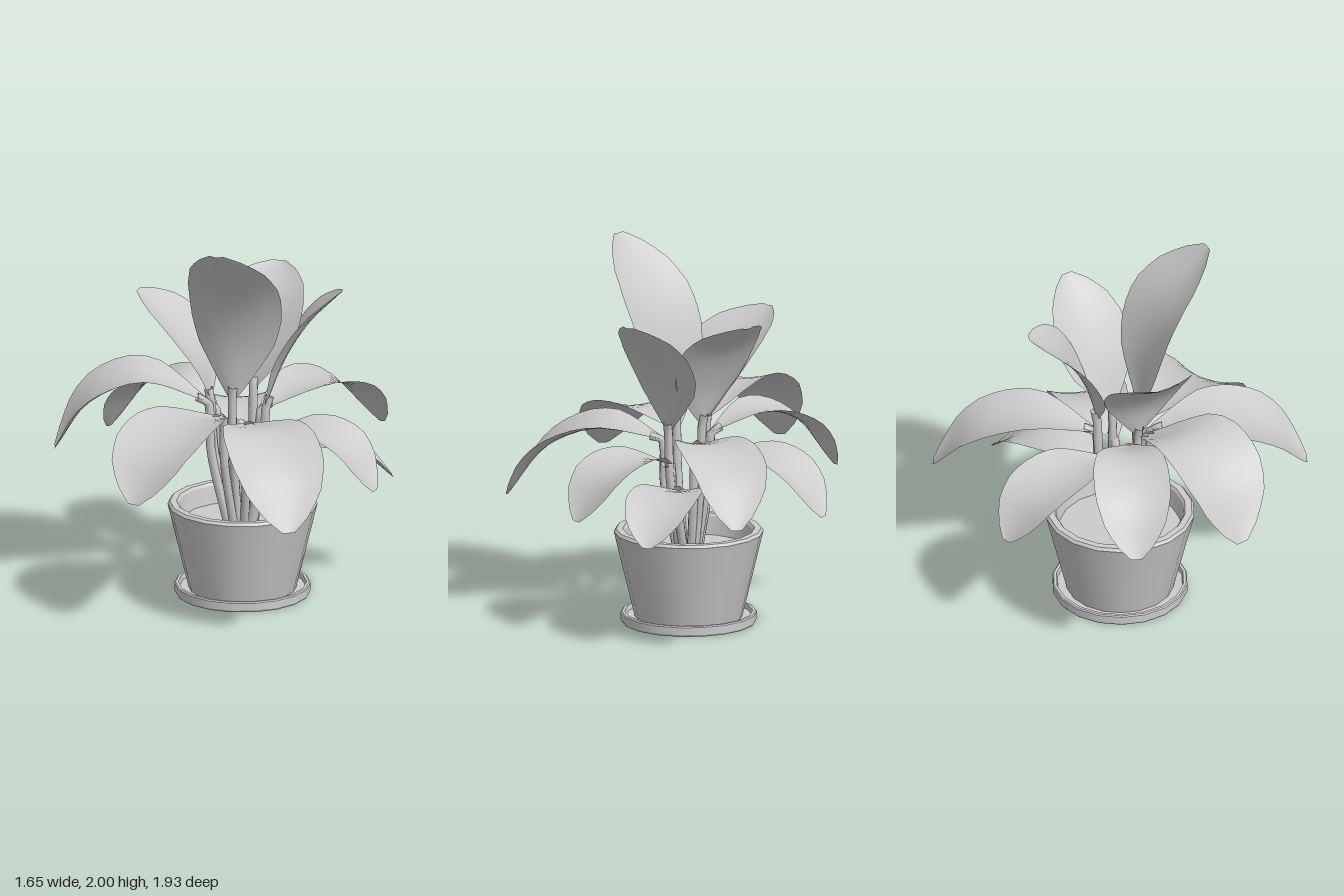
import * as THREE from 'three';

const material = new THREE.MeshStandardMaterial({ color: 0xcccccc, side: THREE.DoubleSide });
const POT = new THREE.Vector3(0.055, 0, -0.015);
const V = (p) => new THREE.Vector3(...p);

// Half width of a blade along its length: narrow base, full middle, blunt tip
const PROFILE = [[0, 0.1], [0.12, 0.42], [0.3, 0.85], [0.45, 0.99], [0.62, 1], [0.78, 0.82], [0.91, 0.52], [1, 0.14]];

// Each leaf: half width and the centre line from blade base to tip
const LEAVES = {
  uprightFrontLeaf: [0.25, [0.06, 1.1, 0.1], [0.09, 1.42, 0.13], [0.13, 1.7, 0.23], [0.18, 2, 0.48]],
  uprightLeftLeaf: [0.21, [0.19, 1.05, -0.03], [0.27, 1.3, -0.1], [0.4, 1.52, -0.15], [0.55, 1.68, -0.2]],
  uprightRightLeaf: [0.24, [-0.1, 1.07, 0.05], [-0.15, 1.26, 0.07], [-0.29, 1.44, 0.09], [-0.51, 1.6, 0.1]],
  uprightBackLeaf: [0.25, [0.05, 1.1, -0.14], [0.03, 1.3, -0.2], [0.01, 1.53, -0.33], [0, 1.67, -0.51]],
  frontLeaf: [0.255, [0.03, 1.0, 0.15], [-0.01, 1.05, 0.45], [-0.03, 0.96, 0.75], [-0.04, 0.74, 0.96]],
  frontLeftLeaf: [0.25, [0.15, 0.97, 0.1], [0.38, 1.02, 0.33], [0.58, 0.9, 0.53], [0.73, 0.63, 0.68]],
  frontRightLeaf: [0.25, [-0.1, 1.05, 0.08], [-0.38, 1.19, 0.27], [-0.62, 1.08, 0.39], [-0.8, 0.79, 0.46]],
  rightLeaf: [0.2, [-0.1, 1.0, 0], [-0.35, 1.09, -0.05], [-0.6, 1.0, -0.08], [-0.79, 0.75, -0.1]],
  backRightLeaf: [0.2, [0, 0.87, -0.1], [-0.17, 0.93, -0.33], [-0.27, 0.85, -0.54], [-0.34, 0.65, -0.7]],
  backLeaf: [0.21, [0.1, 0.98, -0.14], [0.2, 1.05, -0.45], [0.27, 0.96, -0.75], [0.35, 0.72, -0.95]],
  backLeftLeaf: [0.19, [0.16, 0.73, -0.08], [0.35, 0.78, -0.3], [0.5, 0.74, -0.43], [0.65, 0.58, -0.55]],
  leftLeaf: [0.2, [0.17, 0.86, -0.02], [0.4, 0.93, -0.07], [0.62, 0.87, -0.09], [0.8, 0.65, -0.1]],
};

function add(parent, name, geometry) {
  const mesh = new THREE.Mesh(geometry, material);
  mesh.name = name;
  parent.add(mesh);
  return mesh;
}

function profileAt(t) {
  let i = 0;
  while (i < PROFILE.length - 2 && t > PROFILE[i + 1][0]) i++;
  const [a, b] = [PROFILE[i], PROFILE[i + 1]];
  return THREE.MathUtils.mapLinear(t, a[0], b[0], a[1], b[1]);
}

// Blade swept along its centre line, with edges curled up into a shallow gutter
function bladeGeometry(curve, halfWidth) {
  const rows = 14, cols = 6;
  const out = curve.getPointAt(1).sub(POT);
  const side = new THREE.Vector3(out.z, 0, -out.x).normalize();
  const positions = [], index = [];
  for (let i = 0; i <= rows; i++) {
    const t = i / rows;
    const centre = curve.getPointAt(t);
    const normal = curve.getTangentAt(t).cross(side).normalize();
    const w = halfWidth * profileAt(t);
    for (let j = 0; j <= cols; j++) {
      const s = (2 * j) / cols - 1;
      const p = centre.clone().addScaledVector(side, s * w).addScaledVector(normal, 0.2 * w * s * s);
      positions.push(p.x, p.y, p.z);
      if (i < rows && j < cols) {
        const a = i * (cols + 1) + j, b = a + cols + 1;
        index.push(a, a + 1, b, b, a + 1, b + 1);
      }
    }
  }
  const geometry = new THREE.BufferGeometry();
  geometry.setAttribute('position', new THREE.Float32BufferAttribute(positions, 3));
  geometry.setIndex(index);
  geometry.computeVertexNormals();
  return geometry;
}

function makeLeaf(name, [halfWidth, ...points]) {
  const leaf = new THREE.Group();
  leaf.name = name;
  const curve = new THREE.CatmullRomCurve3(points.map(V));
  add(leaf, 'blade', bladeGeometry(curve, halfWidth));
  // Stalk rises from the soil and runs into the blade
  const base = curve.getPointAt(0);
  const foot = POT.clone().lerp(base, 0.4).setY(0.36);
  const knee = POT.clone().lerp(base, 0.9).setY(0.36 + (base.y - 0.36) * 0.6);
  const stalk = new THREE.CatmullRomCurve3([foot, knee, base, curve.getPointAt(0.06)]);
  add(leaf, 'stalk', new THREE.TubeGeometry(stalk, 10, 0.024, 7));
  return leaf;
}

// Turned part; doubled profile points keep the edges sharp
function turned(points) {
  const sharp = points.flatMap(([r, y]) => [new THREE.Vector2(r, y), new THREE.Vector2(r, y)]);
  return new THREE.LatheGeometry(sharp.slice(1, -1), 18);
}

export function createModel() {
  const model = new THREE.Group();
  model.name = 'pottedPlant';

  // Pot wall with a bevelled rim, open underneath
  const pot = new THREE.Group();
  pot.name = 'pot';
  pot.position.copy(POT);
  model.add(pot);
  add(pot, 'potWall', turned([
    [0.255, 0.02], [0.28, 0.02], [0.388, 0.47], [0.392, 0.485], [0.38, 0.5],
    [0.345, 0.5], [0.335, 0.485], [0.255, 0.02],
  ]));
  // Saucer ring with a raised lip
  add(pot, 'saucer', turned([
    [0.255, 0.02], [0.335, 0.02], [0.335, 0], [0.35, 0], [0.356, 0.01],
    [0.356, 0.05], [0.35, 0.056], [0.335, 0.056], [0.33, 0.03], [0.255, 0.03],
  ]));
  const soil = add(pot, 'soil', new THREE.CircleGeometry(0.325, 18));
  soil.rotation.x = -Math.PI / 2;
  soil.position.y = 0.39;

  // Leaves
  for (const [name, spec] of Object.entries(LEAVES)) model.add(makeLeaf(name, spec));
  return model;
}
